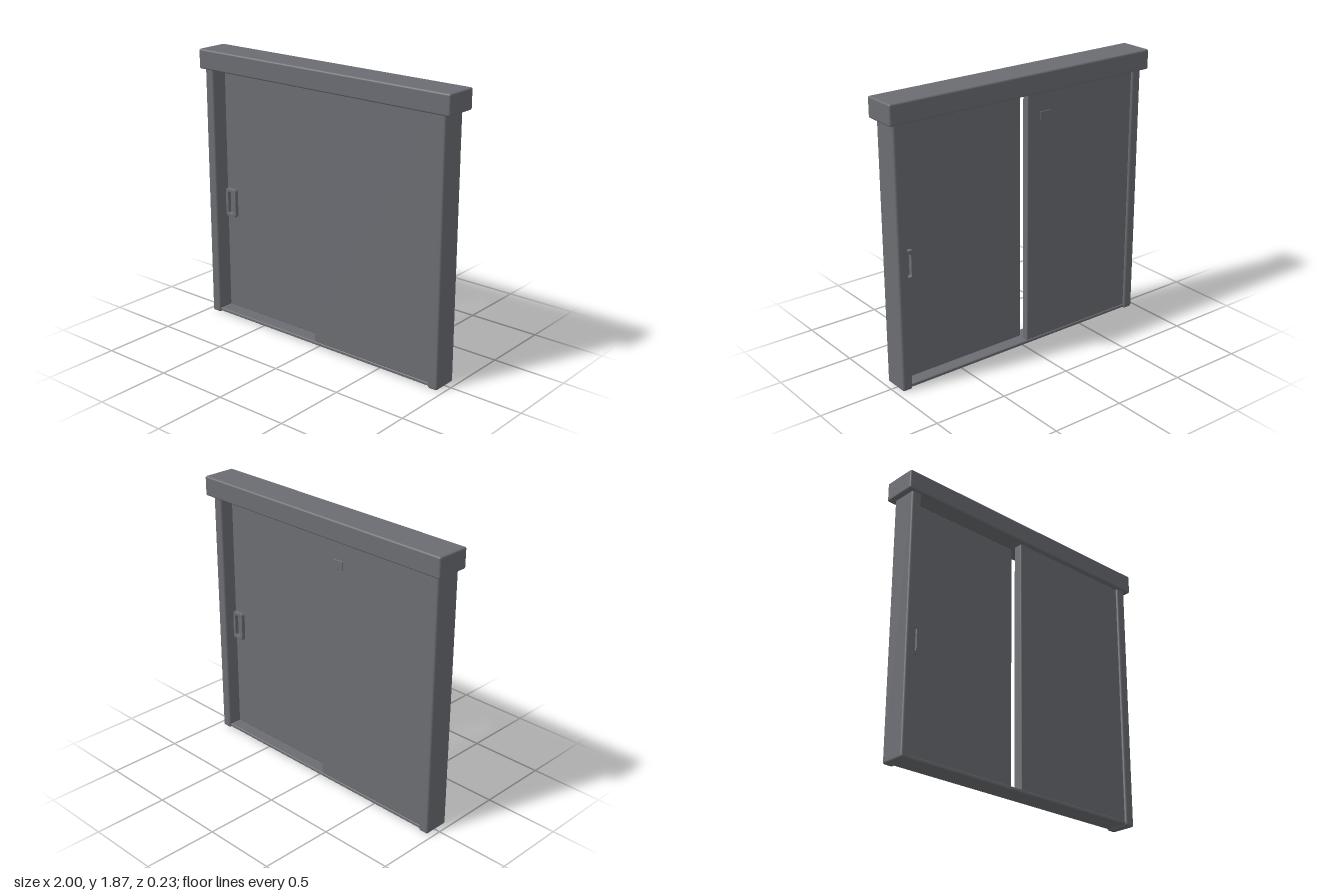
import * as THREE from 'three';
import { RoundedBoxGeometry } from 'three/addons/geometries/RoundedBoxGeometry.js';

export function createModel() {
  const model = new THREE.Group();
  model.name = 'slidingDoor';
  const metal = new THREE.MeshStandardMaterial({ color: 0x6b6d72 });
  metal.name = 'grey metal';

  // Softly rounded block given by its low and high corners
  function block(name, [x0, y0, z0], [x1, y1, z1], radius) {
    const geo = new RoundedBoxGeometry(x1 - x0, y1 - y0, z1 - z0, 3, radius);
    const mesh = new THREE.Mesh(geo, metal);
    mesh.position.set((x0 + x1) / 2, (y0 + y1) / 2, (z0 + z1) / 2);
    mesh.name = name;
    model.add(mesh);
    return mesh;
  }

  // Frame: header, two posts and the sill
  block('header', [-1, 1.735, -0.115], [1, 1.868, 0.117], 0.012);
  block('rightPost', [-0.965, 0, -0.08], [-0.895, 1.75, 0.097], 0.014);
  block('leftPost', [0.89, 0, -0.08], [0.96, 1.75, 0.097], 0.014);
  block('sill', [-0.91, 0.008, -0.07], [0.91, 0.03, 0.085], 0.006);

  // Sliding panels: one on the front track, one on the back track
  block('frontPanel', [-0.035, 0.028, 0.015], [0.9, 1.745, 0.08], 0.006);
  block('backPanel', [-0.905, 0.028, -0.065], [-0.03, 1.737, -0.015], 0.006);

  // Small cover plate on the back of the rear panel
  block('coverPlate', [-0.21, 1.54, -0.07], [-0.13, 1.6, -0.062], 0.003);

  // Rounded rectangle outline for the pull handles
  function roundedRect(path, w, h, r) {
    const x = w / 2, y = h / 2;
    path.moveTo(-x + r, -y);
    path.lineTo(x - r, -y);
    path.quadraticCurveTo(x, -y, x, -y + r);
    path.lineTo(x, y - r);
    path.quadraticCurveTo(x, y, x - r, y);
    path.lineTo(-x + r, y);
    path.quadraticCurveTo(-x, y, -x, y - r);
    path.lineTo(-x, -y + r);
    path.quadraticCurveTo(-x, -y, -x + r, -y);
    return path;
  }

  // Pull handles: a raised ring on the outer edge of each recessed face
  const ring = roundedRect(new THREE.Shape(), 0.092, 0.2, 0.022);
  ring.holes.push(roundedRect(new THREE.Path(), 0.046, 0.15, 0.012));
  const ringGeo = new THREE.ExtrudeGeometry(ring, {
    depth: 0.024, bevelEnabled: true, bevelThickness: 0.004, bevelSize: 0.004,
    bevelOffset: -0.004, bevelSegments: 2, curveSegments: 5
  });
  for (const side of [1, -1]) {
    const handle = new THREE.Mesh(ringGeo, metal);
    handle.name = side > 0 ? 'frontHandle' : 'backHandle';
    handle.position.set(-0.848 * side, 0.8, side > 0 ? -0.017 : 0.017);
    if (side < 0) handle.rotation.y = Math.PI;
    model.add(handle);
  }

  return model;
}
